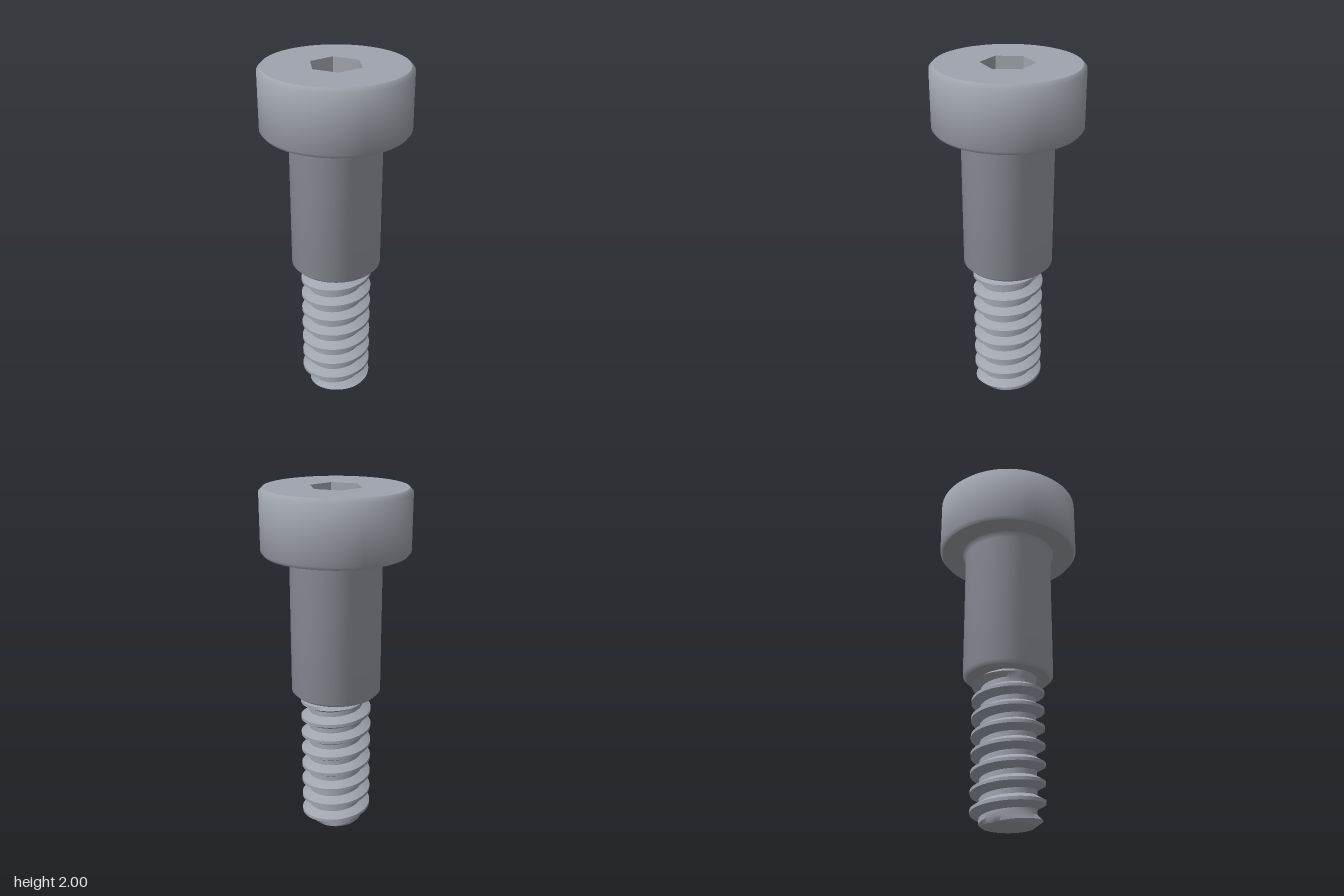
import * as THREE from 'three';
import { toCreasedNormals } from 'three/addons/utils/BufferGeometryUtils.js';

const SEG = 72;
const steel = new THREE.MeshStandardMaterial({ color: 0xa0a5ad });
steel.name = 'steel grey';

function part(name, geometry) {
  const mesh = new THREE.Mesh(geometry, steel);
  mesh.name = name;
  return mesh;
}

// Smooth turned band; profile points are [radius, height], bottom to top
function band(name, points) {
  const profile = points.map(([r, y]) => new THREE.Vector2(r, y));
  return part(name, toCreasedNormals(new THREE.LatheGeometry(profile, SEG), 1.0));
}

// Helical thread: one ridge profile repeated every pitch, trimmed at both ends
function threadGeometry() {
  const pitch = 0.103, top = 0.83, start = 0.76, root = 0.155, crest = 0.203;
  const ridge = [[-0.037, root], [-0.009, crest], [0.009, crest], [0.037, root]];
  const rows = [];
  for (let turn = -9; turn <= 2; turn++) {
    for (const [dy, r] of ridge) rows.push([start + turn * pitch + dy, r]);
  }
  const positions = [], index = [];
  for (let i = 0; i <= SEG; i++) {
    const a = (i / SEG) * Math.PI * 2;
    for (const [y0, r0] of rows) {
      const y = THREE.MathUtils.clamp(y0 + (pitch * i) / SEG, 0, top);
      const r = Math.min(r0, 0.14 + y * 1.35, 0.165 + Math.max(0, 0.82 - y) * 1.7);
      positions.push(r * Math.cos(a), y, -r * Math.sin(a));
    }
  }
  const n = rows.length;
  for (let i = 0; i < SEG; i++) {
    for (let j = 0; j < n - 1; j++) {
      const p = i * n + j, q = p + n;
      index.push(p, q, q + 1, p, q + 1, p + 1);
    }
  }
  const geometry = new THREE.BufferGeometry();
  geometry.setAttribute('position', new THREE.Float32BufferAttribute(positions, 3));
  geometry.setIndex(index);
  return toCreasedNormals(geometry, 0.6);
}

export function createModel() {
  const model = new THREE.Group();
  model.name = 'shoulderBolt';
  const hexRadius = 0.148, hexDepth = 0.18;

  // Head: side with bevelled rims, underside, top face with hexagonal opening
  model.add(band('headSide', [[0.395, 1.645], [0.41, 1.665], [0.41, 1.98], [0.39, 2]]));
  model.add(band('headUnderside', [[0.275, 1.645], [0.395, 1.645]]));
  const face = new THREE.Shape().absarc(0, 0, 0.39, 0, Math.PI * 2);
  const hex = [];
  for (let i = 0; i < 6; i++) {
    const a = Math.PI / 2 - (i * Math.PI) / 3;
    hex.push(new THREE.Vector2(hexRadius * Math.cos(a), hexRadius * Math.sin(a)));
  }
  face.holes.push(new THREE.Path(hex));
  const headTop = part('headTop', new THREE.ShapeGeometry(face, SEG));
  headTop.rotation.x = -Math.PI / 2;
  headTop.position.y = 2;
  model.add(headTop);

  // Hex socket: inward-facing walls and floor
  const walls = new THREE.CylinderGeometry(hexRadius, hexRadius, hexDepth, 6, 1, true);
  walls.scale(-1, 1, 1);
  const socketWalls = part('socketWalls', toCreasedNormals(walls, 0.3));
  socketWalls.position.y = 2 - hexDepth / 2;
  const socketFloor = part('socketFloor', new THREE.CircleGeometry(hexRadius, 6, Math.PI / 2));
  socketFloor.rotation.x = -Math.PI / 2;
  socketFloor.position.y = 2 - hexDepth;
  model.add(socketWalls, socketFloor);

  // Shoulder with flared neck and bevelled lower rim
  model.add(band('shoulder', [[0.235, 0.83], [0.255, 0.85], [0.255, 1.62], [0.275, 1.645]]));
  model.add(band('shoulderUnderside', [[0.15, 0.83], [0.235, 0.83]]));

  // Threaded end
  model.add(part('thread', threadGeometry()));
  const tip = part('threadTip', new THREE.CircleGeometry(0.14, SEG));
  tip.rotation.x = Math.PI / 2;
  model.add(tip);

  return model;
}
